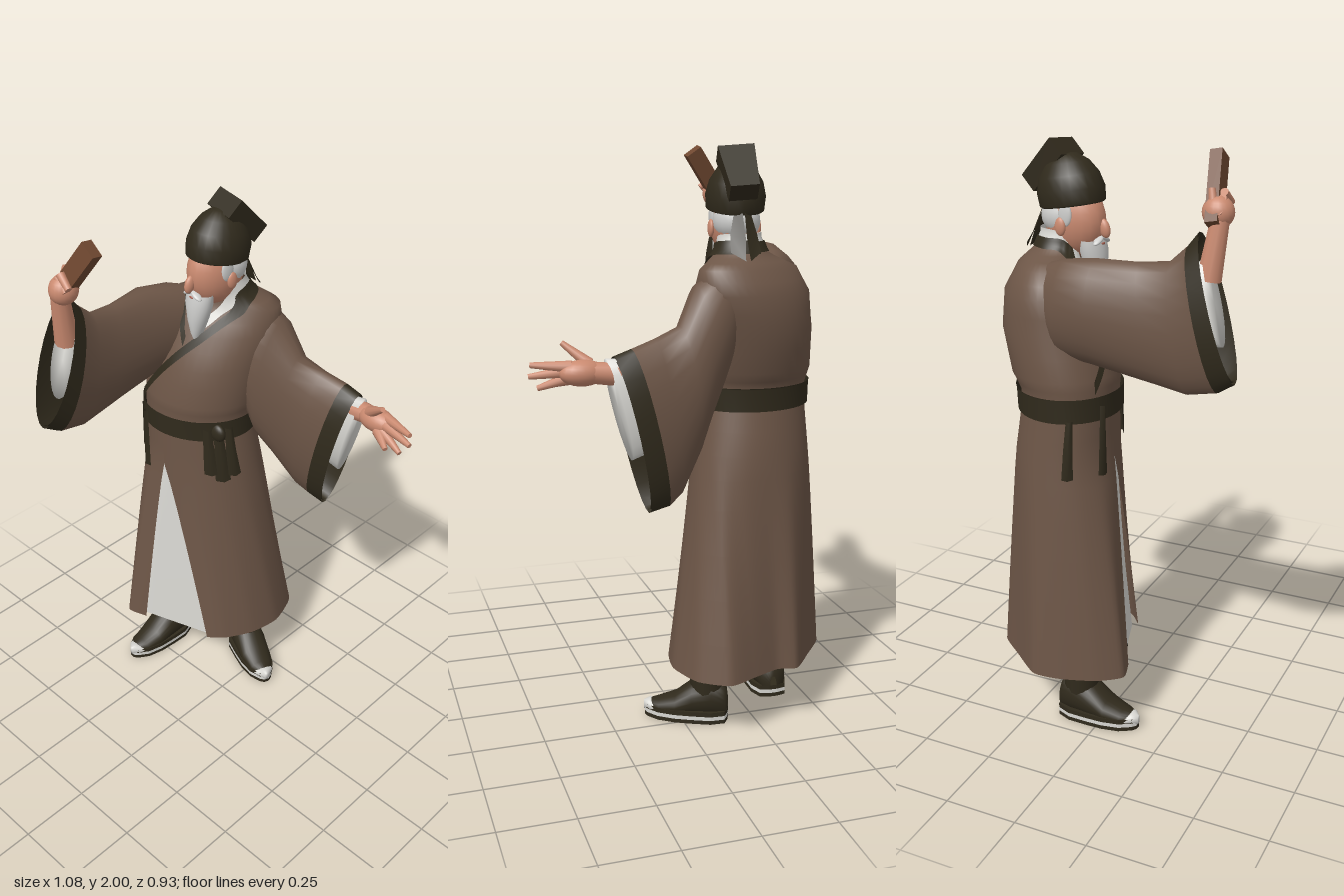
import * as THREE from 'three';

const V = (x, y, z) => new THREE.Vector3(x, y, z);
const mat = (name, color) => new THREE.MeshStandardMaterial({ name, color, side: THREE.DoubleSide });
const YAW = 0.4; // the body is turned a little to its left

// Elliptical body sections: y, centre x, centre z, half width, half depth
const TORSO = [
  [1.13, -.27, -.16, .2, .165], [1.2, -.27, -.16, .2, .165], [1.26, -.265, -.175, .212, .183],
  [1.4, -.25, -.21, .215, .185], [1.52, -.235, -.24, .222, .155], [1.6, -.22, -.248, .195, .11],
  [1.635, -.205, -.238, .122, .085], [1.655, -.2, -.228, .086, .076], [1.7, -.197, -.215, .07, .07],
];
const HIPS = [[.98, -.265, -.175, .218, .178], [1.15, -.27, -.16, .2, .163]];
// Skirt hem seen from above (x, z), from the left front edge round the back to the right front edge
const HEM = new THREE.CatmullRomCurve3([
  [-.085, 0], [-.03, -.05], [.025, -.15], [.045, -.27], [0, -.4], [-.1, -.465], [-.2, -.425], [-.3, -.385],
  [-.37, -.395], [-.45, -.3], [-.535, -.19], [-.53, -.09], [-.49, .03], [-.43, .105], [-.35, .085],
].map(([x, z]) => V(x, .22, z)), false, 'catmullrom', .3);

// Point on a stack of sections at angle a (0 = body front, + = body left) and height y
function surf(secs, a, y, off = 0) {
  let i = 0;
  while (i < secs.length - 2 && y > secs[i + 1][0]) i++;
  const t = THREE.MathUtils.clamp((y - secs[i][0]) / (secs[i + 1][0] - secs[i][0]), 0, 1);
  const [, cx, cz, rx, rz] = secs[i].map((v, k) => THREE.MathUtils.lerp(v, secs[i + 1][k], t));
  const u = Math.sin(a) * (rx + off), w = Math.cos(a) * (rz + off);
  const c = Math.cos(YAW), s = Math.sin(YAW);
  return V(cx + u * c + w * s, y, cz - u * s + w * c);
}

// Surface through rows of points
function sheet(rows, closed = false) {
  const n = rows[0].length, pos = [], idx = [];
  rows.forEach(r => r.forEach(p => pos.push(p.x, p.y, p.z)));
  for (let i = 0; i < rows.length - 1; i++) {
    for (let j = 0; j < (closed ? n : n - 1); j++) {
      const k = (j + 1) % n, a = i * n + j, b = i * n + k, c = a + n, d = b + n;
      idx.push(a, b, c, b, d, c);
    }
  }
  const g = new THREE.BufferGeometry();
  g.setAttribute('position', new THREE.Float32BufferAttribute(pos, 3));
  g.setIndex(idx);
  g.computeVertexNormals();
  return g;
}

// Tube through oval stations [top, bottom, half width], widened along a side axis
function ovals(stations, side, cap = false) {
  const rows = stations.map(([t, b, w]) => {
    const top = V(...t), bot = V(...b), mid = top.clone().add(bot).multiplyScalar(.5), up = top.sub(mid);
    return Array.from({ length: 24 }, (_, j) => {
      const a = j / 24 * Math.PI * 2;
      return mid.clone().addScaledVector(up, Math.cos(a)).addScaledVector(side, w * Math.sin(a));
    });
  });
  if (cap) {
    const last = rows[rows.length - 1], c = V(0, 0, 0);
    last.forEach(p => c.addScaledVector(p, 1 / last.length));
    rows.push(last.map(() => c.clone()));
  }
  return sheet(rows, true);
}

export function createModel() {
  const model = new THREE.Group();
  model.name = 'robedElder';
  const robe = mat('robe brown', 0x6d5647), dark = mat('dark trim', 0x302a1c), white = mat('white cloth', 0xd8d7d2);
  const skin = mat('skin', 0xca8a70), wood = mat('wood', 0x704830), hair = mat('grey hair', 0xcfcfcd);
  const lip = mat('lips', 0xa55f50);

  const add = (name, geo, m, parent = model) => {
    const mesh = new THREE.Mesh(geo, m);
    mesh.name = name;
    parent.add(mesh);
    return mesh;
  };
  const ball = (name, m, p, s, parent) => {
    const b = add(name, new THREE.SphereGeometry(1, 20, 14), m, parent);
    b.position.set(...p);
    b.scale.set(...s);
    return b;
  };
  // Tapered rod between two points
  const rod = (name, m, a, b, r0, r1, parent) => {
    const p = V(...a), d = V(...b).sub(p), len = d.length();
    const r = add(name, new THREE.CylinderGeometry(r1, r0, len, 10), m, parent);
    r.position.copy(p).addScaledVector(d, .5);
    r.quaternion.setFromUnitVectors(V(0, 1, 0), d.normalize());
    return r;
  };

  // Robe body, and a skirt that parts in front and flares to the hem
  const ring = (secs, ys, off) => sheet(ys.map(y =>
    Array.from({ length: 40 }, (_, j) => surf(secs, j / 40 * Math.PI * 2, y, off))), true);
  add('torso', ring(TORSO, [1.13, 1.2, 1.23, 1.26, 1.33, 1.4, 1.46, 1.52, 1.56, 1.6, 1.62, 1.635, 1.655, 1.68], 0), robe);
  const skirtRows = [1.15, 1.06, .98, .9, .8, .65, .5, .35, .22].map(y => {
    const t = Math.max(0, (.98 - y) / .76) ** .88;
    return Array.from({ length: 71 }, (_, j) => {
      const p = surf(HIPS, -.45 + j / 70 * Math.PI * 2, y).lerp(HEM.getPoint(j / 70), t);
      return p.setY(y);
    });
  });
  add('skirt', sheet(skirtRows), robe);
  // white under skirt, set back inside the robe
  const underRows = skirtRows.slice(1).map(row => {
    const c = V(-.25, row[0].y, -.175);
    return row.map(p => p.clone().lerp(c, .1));
  });
  add('underSkirt', sheet(underRows, true), white);

  // Belt and hanging sash ends
  add('belt', ring(TORSO, [1.13, 1.135, 1.205, 1.21], .012), dark);
  const strip = (a, w, y0, y1) => {
    const rows = [0, .5, 1].map(t => {
      const y = y0 + (y1 - y0) * t, h = w * (.6 + .4 * t);
      return [-1, 0, 1].map(k => surf(HIPS, a + k * h, y, .014 + (k ? 0 : .012)));
    });
    add('sashEnd', sheet(rows), dark);
  };
  strip(.45, .12, 1.18, .99);
  strip(.64, .13, 1.18, .96);
  strip(.84, .12, 1.18, .98);
  strip(-.85, .09, 1.18, .94);
  strip(-1.5, .1, 1.14, .94);
  const knot = ball('beltKnot', dark, [0, 0, 0], [.035, .035, .02]);
  knot.position.copy(surf(TORSO, .64, 1.165, .01));

  // Crossed collar bands lying on the torso
  const band = (name, pts, w, off, m) => {
    const curve = new THREE.CatmullRomCurve3(pts.map(p => V(p[0], p[1], 0)));
    const rows = curve.getPoints(48).map(p => [-1, -.4, .4, 1].map(k => surf(TORSO, p.x, p.y + k * w, off)));
    add(name, sheet(rows), m);
  };
  band('underCollar', [[-3.15, 1.69], [-2, 1.69], [-1, 1.67], [-.5, 1.62], [-.15, 1.555], [.2, 1.62], [.8, 1.67],
    [2, 1.69], [3.15, 1.69]], .022, .003, white);
  band('rightCollar', [[-3.15, 1.67], [-2.2, 1.67], [-1.3, 1.66], [-.65, 1.6], [-.3, 1.49]], .017, .008, dark);
  band('leftCollar', [[3.15, 1.67], [2.2, 1.67], [1.2, 1.662], [.7, 1.64], [.25, 1.58], [-.08, 1.505],
    [-.45, 1.41], [-1, 1.24]], .021, .011, dark);

  // Wide sleeves with dark cuffs and white inner sleeves
  const sleeve = (side, stations, inner, label) => {
    const n = stations.length;
    add(label + 'Sleeve', ovals(stations.slice(0, n - 1), side), robe);
    add(label + 'Cuff', ovals(stations.slice(n - 2), side), dark);
    const lining = stations.slice(n - 3).map(([t, b, w]) => [
      V(...t).lerp(V(...b), .02).toArray(), V(...b).lerp(V(...t), .02).toArray(), w - .006]);
    add(label + 'Lining', ovals(lining, side), dark);
    add(label + 'InnerSleeve', ovals(inner, side, true), white);
  };
  sleeve(V(1, 0, 0), [
    [[-.31, 1.6, -.26], [-.32, 1.36, -.23], .06], [[-.36, 1.645, -.12], [-.37, 1.33, -.12], .105],
    [[-.385, 1.662, 0], [-.385, 1.32, -.01], .09], [[-.37, 1.66, .14], [-.38, 1.28, .2], .07],
    [[-.362, 1.67, .24], [-.38, 1.26, .31], .072], [[-.36, 1.72, .295], [-.382, 1.28, .41], .082],
    [[-.355, 1.765, .33], [-.385, 1.315, .465], .08]],
  [[[-.36, 1.6, .25], [-.365, 1.41, .28], .045], [[-.345, 1.69, .345], [-.36, 1.42, .415], .055]], 'right');
  sleeve(V(.12, 0, 1).normalize(), [
    [[-.16, 1.62, -.27], [-.14, 1.3, -.26], .09], [[-.09, 1.605, -.3], [-.1, 1.2, -.27], .115],
    [[-.015, 1.555, -.315], [-.06, 1.09, -.28], .115], [[.05, 1.43, -.34], [-.02, 1, -.32], .095],
    [[.14, 1.395, -.36], [.05, .88, -.36], .085], [[.22, 1.37, -.38], [.1, .845, -.38], .087],
    [[.28, 1.35, -.385], [.165, .83, -.385], .085]],
  [[[.16, 1.33, -.375], [.13, 1.04, -.375], .05], [[.305, 1.345, -.385], [.222, 1.01, -.385], .057]], 'left');

  // Open left hand
  rod('leftWrist', skin, [.22, 1.29, -.385], [.35, 1.3, -.378], .042, .034);
  ball('leftPalm', skin, [.375, 1.3, -.372], [.075, .042, .044]);
  [[[.41, 1.322, -.375], [.535, 1.327, -.338]], [[.42, 1.305, -.358], [.54, 1.29, -.335]],
    [[.41, 1.285, -.352], [.51, 1.25, -.325]], [[.4, 1.28, -.345], [.465, 1.255, -.305]],
    [[.35, 1.325, -.36], [.43, 1.39, -.32]]]
    .forEach(([a, b]) => rod('leftFinger', skin, a, b, .02, .009));

  // Raised right hand gripping a wooden block
  rod('rightForearm', skin, [-.348, 1.62, .36], [-.33, 1.8, .385], .04, .03);
  ball('rightFist', skin, [-.32, 1.82, .375], [.046, .05, .05]);
  const block = add('woodenBlock', new THREE.BoxGeometry(.062, .24, .04), wood);
  block.position.set(-.285, 1.88, .355);
  block.quaternion.setFromUnitVectors(V(0, 1, 0), V(.14, .195, -.04).normalize());
  for (let i = 0; i < 4; i++) {
    const x = -.325 + i * .014, y = 1.805 + i * .016;
    rod('rightFinger', skin, [x - .03, y + .025, .388], [x + .015, y - .01, .396], .015, .012);
  }
  rod('rightThumb', skin, [-.34, 1.82, .37], [-.325, 1.89, .355], .016, .011);

  // Head
  const neck = rod('neck', skin, [-.2, 1.6, -.23], [-.195, 1.74, -.185], .06, .056);
  neck.scale.z = 1.1;
  const head = new THREE.Group();
  head.name = 'head';
  head.position.set(-.195, 1.74, -.17);
  head.rotation.y = -.1;
  model.add(head);
  ball('face', skin, [0, 0, 0], [.077, .12, .11], head);
  const nose = ball('nose', skin, [0, -.022, .112], [.014, .032, .02], head);
  nose.rotation.x = -.3;
  for (const s of [-1, 1]) {
    ball('ear', skin, [s * .08, -.015, -.005], [.011, .03, .02], head);
    ball('sideburn', hair, [s * .074, .025, .01], [.009, .04, .025], head);
    const m = ball('moustache', hair, [s * .02, -.06, .1], [.026, .008, .014], head);
    m.rotation.z = -s * .45;
  }
  ball('mouth', lip, [0, -.072, .1], [.015, .006, .01], head);
  ball('backHair', hair, [0, .01, -.03], [.078, .075, .088], head);
  const beard = ovals([
    [[0, -.06, .105], [0, -.06, .03], .056], [[0, -.1, .115], [0, -.1, .03], .055],
    [[0, -.16, .115], [0, -.155, .04], .038], [[0, -.21, .108], [0, -.205, .055], .02],
    [[0, -.245, .095], [0, -.245, .075], .004]], V(1, 0, 0), true);
  add('beard', beard, hair, head);

  // Soft cap with slanted crown and two back ribbons
  const cap = new THREE.Group();
  cap.name = 'cap';
  head.add(cap);
  const dome = [[.09, .045], [.096, .05], [.099, .095], [.088, .14], [.064, .18], [.032, .207], [0, .212]]
    .map(p => new THREE.Vector2(...p));
  const capBody = add('capBody', new THREE.LatheGeometry(dome, 24), dark, cap);
  capBody.scale.z = 1.18;
  capBody.rotation.x = -.15;
  // crown block narrows toward the back
  const crownGeo = new THREE.BoxGeometry(.12, .07, .175).toNonIndexed();
  const cp = crownGeo.attributes.position;
  for (let i = 0; i < cp.count; i++) if (cp.getZ(i) < 0) cp.setX(i, cp.getX(i) * .78);
  crownGeo.computeVertexNormals();
  const crown = add('capCrown', crownGeo, dark, cap);
  crown.position.set(.008, .166, -.093);
  crown.rotation.set(-.8, 0, -.1);
  for (const s of [-1, 1]) {
    const tail = sheet([[V(s * .004, .05, -.115), V(s * .025, .05, -.1)],
      [V(s * .002, -.04, -.16), V(s * .045, -.03, -.125)], [V(s * .008, -.11, -.19), V(s * .05, -.085, -.16)]]);
    add('capRibbon', tail, dark, cap);
  }

  // Boots with thin pale soles
  const foot = [[-.076, .08, .012], [-.068, .13, .045], [-.02, .17, .063], [.05, .14, .063],
    [.11, .09, .06], [.17, .067, .047], [.21, .057, .022], [.222, .047, .006]];
  const boot = (name, x, z, yaw) => {
    const g = new THREE.Group();
    g.name = name;
    g.position.set(x, 0, z);
    g.rotation.y = yaw;
    model.add(g);
    add('bootFoot', ovals(foot.map(([l, h, w]) => [[0, h, l], [0, .01, l], w]), V(1, 0, 0), true), dark, g);
    const sole = new THREE.Shape();
    sole.setFromPoints([...foot.map(([l, , w]) => new THREE.Vector2(w + .003, -l)),
      ...foot.slice().reverse().map(([l, , w]) => new THREE.Vector2(-w - .003, -l))]);
    const slab = (label, depth, y, m) => add(label, new THREE.ExtrudeGeometry(sole, { depth, bevelEnabled: false })
      .rotateX(-Math.PI / 2).translate(0, y, 0), m, g);
    slab('bootWelt', .016, .028, dark);
    slab('bootSole', .014, .014, white);
    slab('bootTread', .014, 0, dark);
    // upturned pale toe rim
    add('toeRim', ovals([[[0, .045, .165], [0, .015, .165], .05], [[0, .062, .205], [0, .015, .205], .031],
      [[0, .052, .226], [0, .018, .226], .008]], V(1, 0, 0), true), white, g);
    const shaft = add('bootShaft', new THREE.CylinderGeometry(.064, .06, .3, 18, 1, true), dark, g);
    shaft.position.y = .22;
  };
  boot('rightBoot', -.383, -.083, -.03);
  boot('leftBoot', -.092, -.235, 1.15);

  return model;
}
